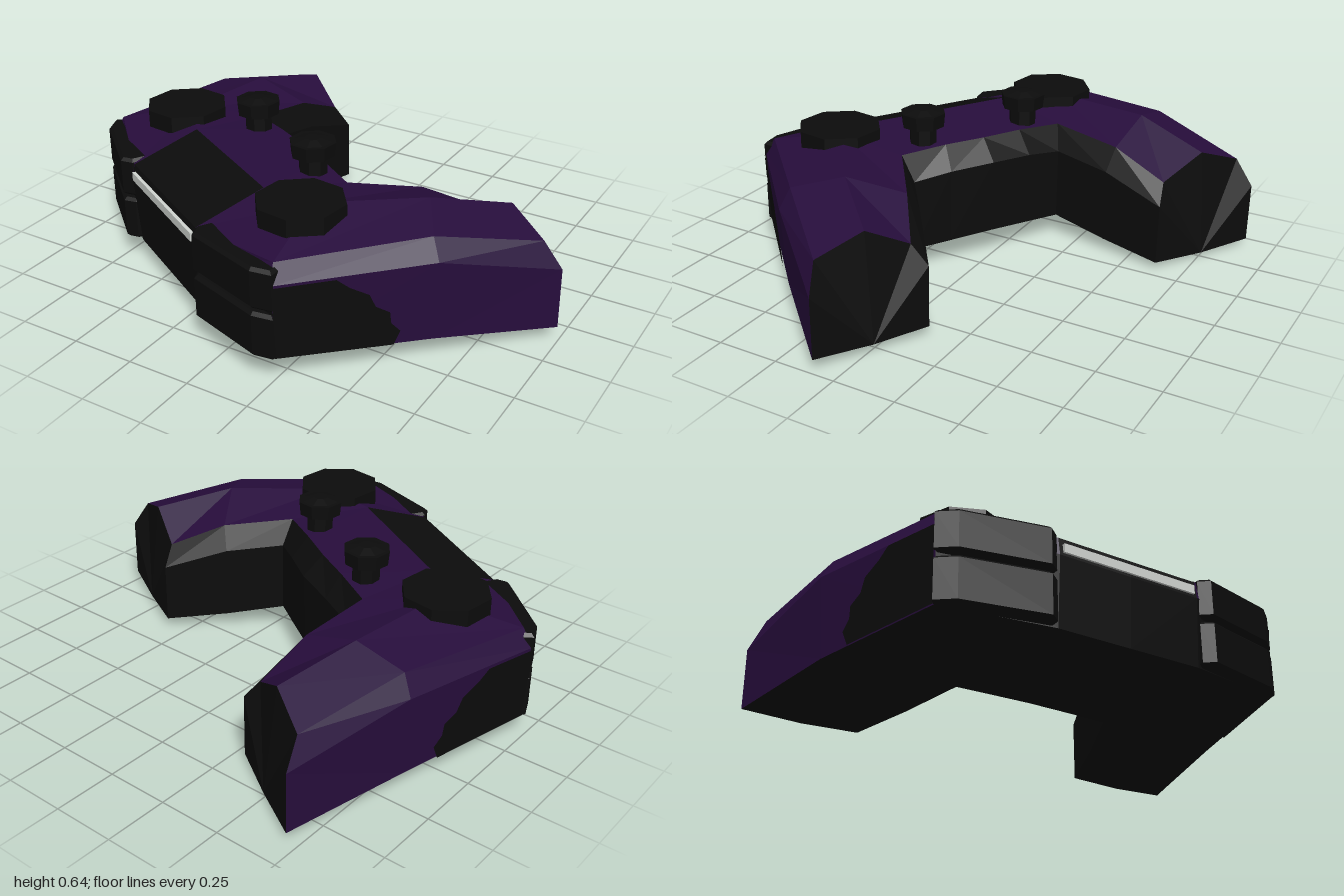
import * as THREE from 'three';

const purple = new THREE.MeshStandardMaterial({ color: 0x270d3c });
purple.name = 'deepPurple';
const black = new THREE.MeshStandardMaterial({ color: 0x0c0c0c, side: THREE.DoubleSide });
black.name = 'black';
const white = new THREE.MeshStandardMaterial({ color: 0xd0d4d0 });
white.name = 'lightWhite';

// Half-shell sections from the middle to the end of one grip. Each runs:
// outer bottom, outer wall top, outer rim, mid top, inner rim, inner wall top, inner bottom, mid bottom
const half = [
  [[0, .09, .68], [0, .36, .70], [0, .43, .69], [0, .52, .42], [0, .50, .10], [0, .42, .02], [0, .12, .03], [0, .09, .38]],
  [[.30, .09, .68], [.30, .36, .70], [.30, .43, .69], [.30, .52, .42], [.17, .50, .105], [.18, .41, .04], [.18, .11, .045], [.30, .09, .36]],
  [[.72, .10, .60], [.73, .39, .61], [.70, .46, .585], [.51, .53, .33], [.36, .49, .11], [.333, .39, .058], [.335, .10, .06], [.54, .09, .30]],
  [[.87, .085, .055], [.89, .40, .055], [.845, .48, .05], [.67, .525, -.05], [.47, .455, -.15], [.42, .36, -.16], [.425, .06, -.16], [.62, .01, -.25]],
  [[.975, .04, -.415], [.975, .28, -.415], [.93, .39, -.36], [.74, .455, -.36], [.56, .36, -.355], [.513, .28, -.40], [.513, .035, -.40], [.74, .03, -.41]],
];

function add(parent, name, geometry, material, x = 0, y = 0, z = 0) {
  const mesh = new THREE.Mesh(geometry, material);
  mesh.name = name;
  mesh.position.set(x, y, z);
  parent.add(mesh);
  return mesh;
}

function facesGeometry(points) {
  const g = new THREE.BufferGeometry();
  g.setAttribute('position', new THREE.Float32BufferAttribute(points.flat(), 3));
  g.computeVertexNormals();
  return g;
}

// Loft the sections and sort the faces into the coloured cover and the black shell
function addShell(parent) {
  const mirrored = half.slice(1).reverse().map(s => s.map(([x, y, z]) => [-x, y, z]));
  const rings = [...mirrored, ...half];
  const cover = [], shell = [];
  for (let s = 0; s < rings.length - 1; s++) {
    const out = s >= 4 ? s - 4 : 3 - s; // distance from the middle
    for (let k = 0; k < 8; k++) {
      const n = (k + 1) % 8;
      const a = rings[s][k], b = rings[s + 1][k], c = rings[s + 1][n], d = rings[s][n];
      const isPurple = (k === 0 && out >= 2) || ((k === 1 || k === 2) && out >= 1) || k === 3;
      const list = isPurple ? cover : shell;
      // keep the diagonals symmetrical
      if (s >= 4) list.push(a, b, c, a, c, d);
      else list.push(a, b, d, b, c, d);
    }
  }
  // grip ends
  const first = rings[0], last = rings[rings.length - 1];
  for (let k = 0; k < 6; k++) {
    shell.push(first[7], first[k], first[k + 1]);
    shell.push(last[7], last[k + 1], last[k]);
  }
  add(parent, 'topCover', facesGeometry(cover), purple);
  add(parent, 'lowerShell', facesGeometry(shell), black);
}

// Plan outline raised into a block with a small chamfer
function planBlock(outline, y0, y1, side) {
  const bevel = 0.012;
  const shape = new THREE.Shape(outline.map(([x, z]) => new THREE.Vector2(side * x, -z)));
  const g = new THREE.ExtrudeGeometry(shape, {
    depth: y1 - y0 - 2 * bevel, bevelEnabled: true, bevelSegments: 1,
    bevelThickness: bevel, bevelSize: bevel, bevelOffset: -bevel,
  });
  g.rotateX(-Math.PI / 2);
  g.translate(0, y0 + bevel, 0);
  return g;
}

// Dark patch lying on the outer wall, drawn in wall coordinates (along, up)
function wallPatch(side) {
  const outline = [[0, 0], [.74, 0], [.78, .18], [.72, .3], [.71, .45], [.62, .55], [.58, .72], [.46, .85], [.38, .98], [0, .98]];
  const g = new THREE.ShapeGeometry(new THREE.Shape(outline.map(p => new THREE.Vector2(...p))));
  const [a, d] = half[2].slice(0, 2).map(p => new THREE.Vector3(...p));
  const [b, c] = half[3].slice(0, 2).map(p => new THREE.Vector3(...p));
  const pos = g.attributes.position;
  for (let i = 0; i < pos.count; i++) {
    const t = pos.getX(i), h = pos.getY(i);
    const p = a.clone().lerp(b, t).lerp(d.clone().lerp(c, t), h);
    pos.setXYZ(i, side * (p.x + 0.007), p.y, p.z + 0.002);
  }
  const flat = g.toNonIndexed();
  if (side < 0) { // restore corner order after mirroring
    const q = flat.attributes.position;
    const v = Array.from({ length: q.count }, (_, i) => [q.getX(i), q.getY(i), q.getZ(i)]);
    const flipped = [];
    for (let i = 0; i < v.length; i += 3) flipped.push(v[i], v[i + 2], v[i + 1]);
    return facesGeometry(flipped);
  }
  flat.computeVertexNormals();
  return flat;
}

function octagon(rTop, rBottom, height) {
  const g = new THREE.CylinderGeometry(rTop, rBottom, height, 8).toNonIndexed();
  g.computeVertexNormals();
  return g;
}

function addStick(parent, name, x) {
  const stick = new THREE.Group();
  stick.name = name;
  stick.position.set(x, 0, .18);
  parent.add(stick);
  add(stick, 'stickShaft', octagon(.055, .055, .12), black, 0, .52, 0);
  add(stick, 'stickCap', octagon(.09, .085, .055), black, 0, .598, 0);
  add(stick, 'stickCrown', octagon(.03, .075, .012), black, 0, .631, 0);
}

export function createModel() {
  const model = new THREE.Group();
  model.name = 'gameController';
  const body = new THREE.Group();
  body.name = 'controllerBody';
  body.rotation.set(0, -Math.PI / 6, 0.012, 'YXZ');
  body.position.set(-.061, 0, -.035);
  model.add(body);

  addShell(body);
  add(body, 'lightBar', new THREE.BoxGeometry(.57, .034, .014), white, 0, .388, .70);

  for (const side of [-1, 1]) {
    const label = side > 0 ? 'left' : 'right';
    // shoulder buttons
    const outline = [[.31, .60], [.31, .695], [.35, .727], [.67, .66], [.735, .61], [.70, .54]];
    add(body, label + 'Bumper', planBlock(outline, .285, .445, side), black);
    add(body, label + 'Trigger', planBlock(outline, .095, .272, side), black);
    add(body, label + 'SidePatch', wallPatch(side), black);
    // thumb controls
    add(body, label + 'ButtonPad', octagon(.167, .167, .07), black, side * .50, .518, .375);
    addStick(body, label + 'Stick', side * .23);
  }
  return model;
}
